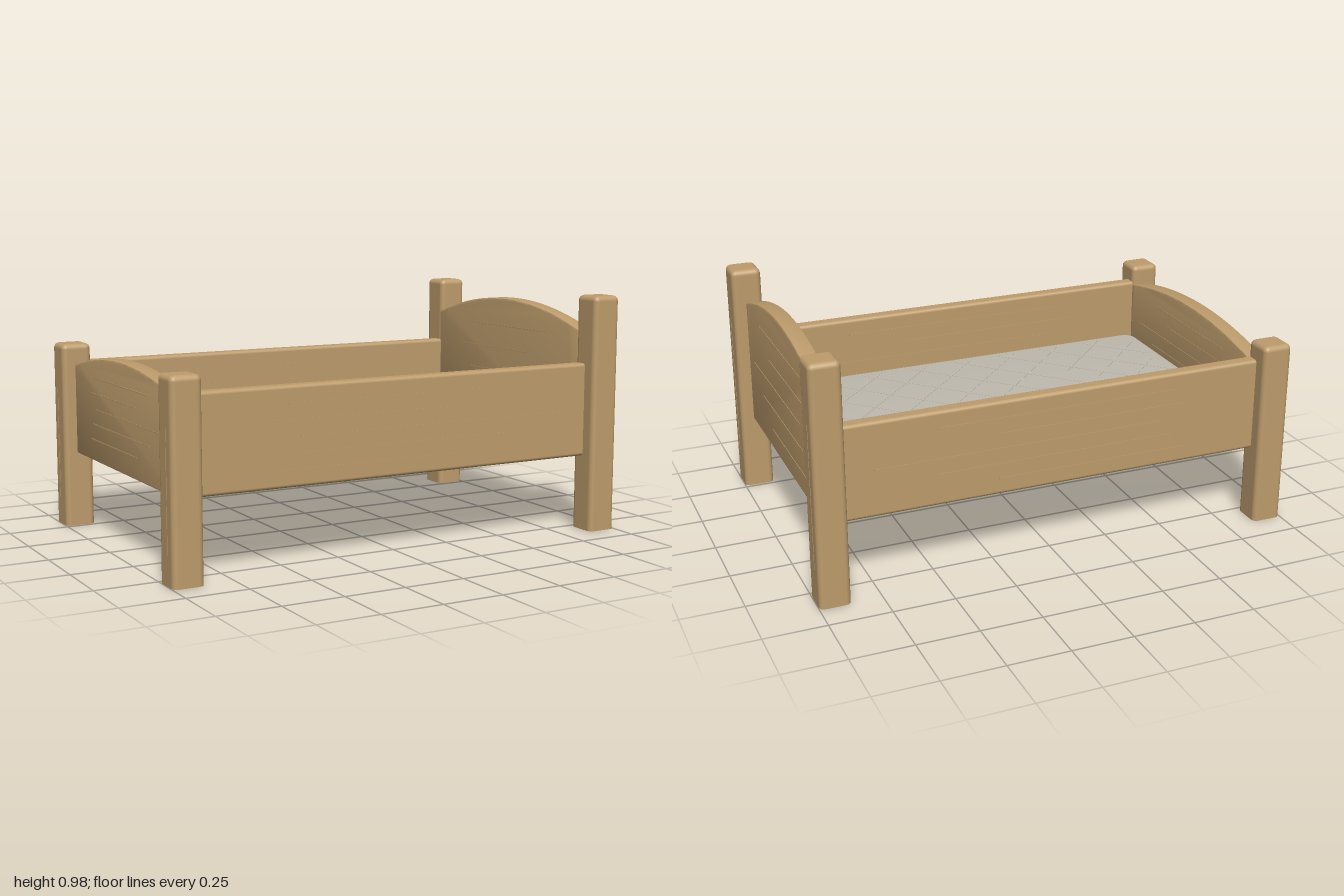
import * as THREE from 'three';
import { toCreasedNormals } from 'three/addons/utils/BufferGeometryUtils.js';
import { RoundedBoxGeometry } from 'three/addons/geometries/RoundedBoxGeometry.js';

const wood = new THREE.MeshStandardMaterial({ color: 0xbd9c6c });
wood.name = 'wood';
const fabric = new THREE.MeshStandardMaterial({ color: 0xc1bcb0 });
fabric.name = 'mattressFabric';

export function createModel() {
  const bed = new THREE.Group();
  bed.name = 'bed';

  const add = (name, geometry, material, x, y, z) => {
    const mesh = new THREE.Mesh(geometry, material);
    mesh.name = name;
    mesh.position.set(x, y, z);
    bed.add(mesh);
    return mesh;
  };
  const box = (name, w, h, d, x, y, z, material = wood) =>
    add(name, new THREE.BoxGeometry(w, h, d), material, x, y, z);

  // Square post, rounded at the top and cut flat at the floor
  function postGeometry(height) {
    const r = 0.022;
    const g = new RoundedBoxGeometry(0.125, height + r, 0.125, 3, r);
    g.translate(0, (height - r) / 2, 0);
    const p = g.attributes.position, n = g.attributes.normal;
    for (let i = 0; i < p.count; i++) {
      if (p.getY(i) < -1e-4) {
        p.setY(i, 0);
        n.setXYZ(i, 0, -1, 0);
      }
    }
    return g;
  }

  // End board with an arched top, lying across z
  function boardGeometry(shoulder, crown) {
    const b = 0.008, half = 0.52, bottom = 0.31 + b, steps = 32;
    const shape = new THREE.Shape();
    shape.moveTo(-half, bottom);
    shape.lineTo(half, bottom);
    for (let i = 0; i <= steps; i++) {
      const t = 1 - (2 * i) / steps;
      shape.lineTo(t * half, crown - b - (crown - shoulder) * t * t);
    }
    shape.closePath();
    const g = new THREE.ExtrudeGeometry(shape, {
      depth: 0.07 - 2 * b, bevelThickness: b, bevelSize: b, bevelSegments: 2,
    });
    g.translate(0, 0, -0.035 + b);
    g.rotateY(Math.PI / 2);
    return toCreasedNormals(g, 0.6);
  }

  // Posts and end boards: tall head on the left (+x), low foot on the right
  const ends = [
    { side: 1, name: 'head', post: 0.98, shoulder: 0.835, crown: 0.928 },
    { side: -1, name: 'foot', post: 0.772, shoulder: 0.685, crown: 0.75 },
  ];
  for (const e of ends) {
    for (const s of [1, -1]) {
      add(e.name + 'Post', postGeometry(e.post), wood, e.side * 0.936, 0, s * 0.574);
      // Raised vertical grain on the outer post faces
      box(e.name + 'PostGrain', 0.003, e.post * 0.6, 0.004,
        e.side * 0.9985, e.post * 0.45, s * 0.585);
    }
    add(e.name + 'board', boardGeometry(e.shoulder, e.crown), wood, e.side * 0.909, 0, 0);
    // Raised horizontal grain on both board faces
    for (let i = 0; i < 5; i++) {
      const y = 0.4 + (i * (e.shoulder - 0.43)) / 4;
      for (const f of [1, -1]) {
        box(e.name + 'boardGrain', 0.003, 0.004, 0.5 + 0.1 * (i % 3),
          e.side * 0.909 + f * 0.0355, y, 0.08 * ((i % 3) - 1));
      }
    }
  }

  // Side rails with raised grain on both faces
  for (const s of [1, -1]) {
    add('sideRail', new RoundedBoxGeometry(1.77, 0.388, 0.06, 3, 0.014), wood, 0, 0.506, s * 0.546);
    for (let i = 0; i < 5; i++) {
      for (const f of [1, -1]) {
        box('railGrain', 0.8 + 0.2 * (i % 3), 0.004, 0.003,
          0.15 * ((i % 3) - 1), 0.38 + i * 0.063, s * 0.546 + f * 0.0303);
      }
    }
  }

  // Slats under the mattress
  for (let i = -3; i <= 3; i++) {
    box('slat', 0.155, 0.035, 1.04, i * 0.247, 0.3425, 0);
  }

  // Mattress: rounded rectangle with soft edges
  const bevel = 0.014, w = 0.862 - bevel, d = 0.5 - bevel, r = 0.04;
  const top = 0.455, base = 0.36;
  const outline = new THREE.Shape();
  outline.absarc(w - r, d - r, r, 0, Math.PI / 2);
  outline.absarc(r - w, d - r, r, Math.PI / 2, Math.PI);
  outline.absarc(r - w, r - d, r, Math.PI, Math.PI * 1.5);
  outline.absarc(w - r, r - d, r, Math.PI * 1.5, Math.PI * 2);
  const mattress = new THREE.ExtrudeGeometry(outline, {
    depth: top - base - 2 * bevel, bevelThickness: bevel, bevelSize: bevel,
    bevelSegments: 3, curveSegments: 8,
  });
  mattress.rotateX(-Math.PI / 2);
  add('mattress', toCreasedNormals(mattress, 0.7), fabric, 0, base + bevel, 0);

  // Diamond quilting: thin diagonal seams clipped to the mattress top
  const hx = 0.82, hz = 0.46;
  for (const slope of [1, -1]) {
    for (let c = -1.05; c < 1.1; c += 0.21) {
      const x0 = Math.max(-hx, c - hz), x1 = Math.min(hx, c + hz);
      if (x1 - x0 < 0.05) continue;
      const mid = (x0 + x1) / 2;
      const seam = box('quiltSeam', (x1 - x0) * Math.SQRT2, 0.002, 0.005,
        mid, top + 0.0005, slope * (mid - c), fabric);
      seam.rotation.y = (-slope * Math.PI) / 4;
    }
  }
  return bed;
}
